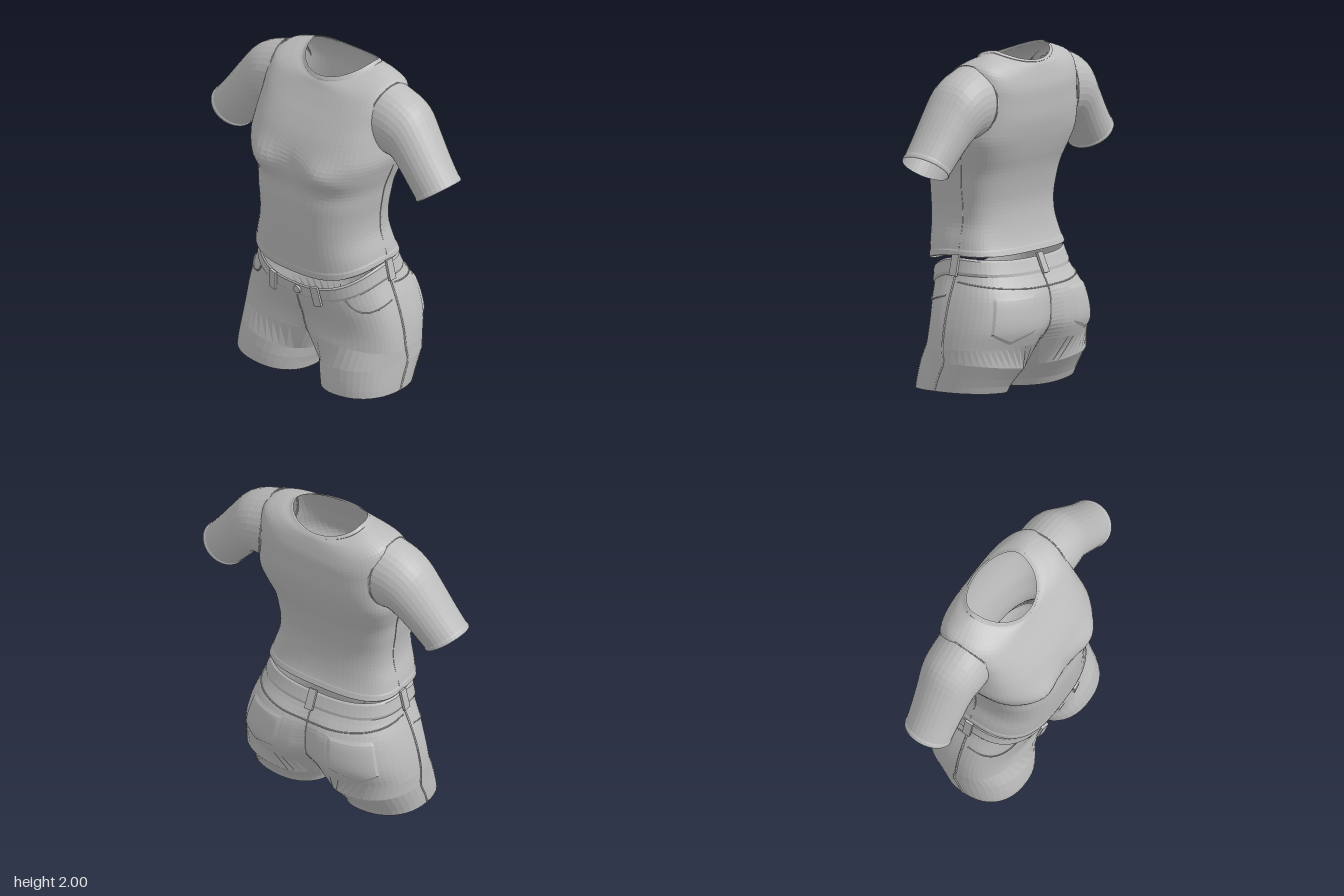
import * as THREE from 'three';

const cloth = new THREE.MeshStandardMaterial({ color: 0xbcbcbc, side: THREE.DoubleSide });
cloth.name = 'grey cloth';
const V = (x, y, z) => new THREE.Vector3(x, y, z);
const rad = THREE.MathUtils.degToRad;

function addMesh(group, name, geometry) {
  const mesh = new THREE.Mesh(geometry, cloth);
  mesh.name = name;
  group.add(mesh);
  return mesh;
}

// Faceted skin over a list of equally long point rows
function loft(rows, skip = () => false) {
  const pos = [];
  for (let i = 0; i < rows.length - 1; i++) {
    for (let j = 0; j < rows[i].length - 1; j++) {
      const a = rows[i][j], b = rows[i][j + 1], c = rows[i + 1][j + 1], d = rows[i + 1][j];
      const mid = a.clone().add(b).add(c).add(d).multiplyScalar(0.25);
      if (skip(mid)) continue;
      for (const p of [a, b, c, a, c, d]) pos.push(p.x, p.y, p.z);
    }
  }
  const g = new THREE.BufferGeometry();
  g.setAttribute('position', new THREE.Float32BufferAttribute(pos, 3));
  g.computeVertexNormals();
  return g;
}

function grid(fn, nu, nv, skip) {
  return loft(Array.from({ length: nu + 1 }, (_, i) =>
    Array.from({ length: nv + 1 }, (_, j) => fn(i / nu, j / nv))), skip);
}

// Thin raised seam along points
function seam(group, name, points, r = 0.004) {
  addMesh(group, name, new THREE.TubeGeometry(new THREE.CatmullRomCurve3(points), 40, r, 5));
}

// Smooth interpolation between table rows
function sample(rows, t) {
  const n = rows.length - 1, i = Math.max(0, Math.min(Math.floor(t), n - 1)), f = t - i;
  const [a, b, c, d] = [i - 1, i, i + 1, i + 2].map(k => rows[Math.max(0, Math.min(n, k))]);
  return b.map((p, k) => p + 0.5 * f * (c[k] - a[k] + f * (2 * a[k] - 5 * p + 4 * c[k] - d[k]
    + f * (3 * (p - c[k]) + d[k] - a[k]))));
}

// Row: half width, y at side / front / back, z at side / front / back, squareness, centre dips
function bodyPoint(rows, t, a) {
  const [w, ys, yf, yb, zs, zf, zb, e, dipF, dipB] = sample(rows, t);
  const c = Math.cos(a), s = Math.sin(a), front = s > 0;
  const x = w * Math.sign(c) * Math.abs(c) ** e;
  const y = ys + ((front ? yf : yb) - ys) * Math.abs(s) ** 1.5;
  let z = zs + ((front ? zf : zb) - zs) * Math.abs(s) ** e;
  z += (front ? -dipF : dipB) * Math.exp(-((x / 0.09) ** 2));
  return V(x, y, z);
}

const SHIRT = [
  [0.425, 0.82, 0.74, 0.82, -0.01, 0.34, -0.24, 0.7, 0, 0],
  [0.405, 0.90, 0.84, 0.90, 0, 0.35, -0.21, 0.7, 0, 0],
  [0.375, 1.00, 0.97, 1.00, 0, 0.36, -0.19, 0.7, 0, 0],
  [0.372, 1.10, 1.09, 1.10, 0, 0.365, -0.185, 0.7, 0, 0],
  [0.385, 1.20, 1.20, 1.20, 0, 0.365, -0.20, 0.7, 0, 0],
  [0.40, 1.30, 1.30, 1.30, -0.01, 0.355, -0.225, 0.7, 0, 0],
  [0.43, 1.40, 1.40, 1.40, -0.03, 0.36, -0.26, 0.66, 0, 0],
  [0.455, 1.50, 1.50, 1.50, -0.05, 0.35, -0.29, 0.63, 0, 0],
  [0.445, 1.62, 1.60, 1.60, -0.06, 0.31, -0.31, 0.62, 0, 0],
  [0.435, 1.74, 1.70, 1.70, -0.07, 0.25, -0.315, 0.62, 0, 0],
  [0.43, 1.85, 1.78, 1.78, -0.08, 0.195, -0.315, 0.64, 0, 0],
  [0.41, 1.925, 1.85, 1.85, -0.10, 0.15, -0.30, 0.72, 0, 0],
  [0.32, 1.965, 1.885, 1.90, -0.12, 0.13, -0.285, 0.85, 0, 0],
  [0.25, 1.985, 1.90, 1.92, -0.12, 0.12, -0.275, 1, 0, 0],
  [0.222, 2.0, 1.925, 1.935, -0.12, 0.108, -0.262, 1, 0, 0],
];
function shirtPoint(t, a) {
  const p = bodyPoint(SHIRT, t, a);
  if (Math.sin(a) > 0)
    p.z += 0.045 * Math.exp(-(((Math.abs(p.x) - 0.22) / 0.13) ** 2) - ((p.y - 1.42) / 0.085) ** 2);
  return p;
}

const SHORTS = [
  [0.415, 0.812, 0.66, 0.79, 0, 0.312, -0.25, 0.78, 0, 0],
  [0.44, 0.715, 0.575, 0.70, 0, 0.298, -0.29, 0.76, 0, 0],
  [0.49, 0.60, 0.50, 0.60, 0, 0.275, -0.36, 0.74, 0, 0.02],
  [0.525, 0.50, 0.43, 0.50, 0, 0.258, -0.387, 0.74, 0.01, 0.035],
  [0.55, 0.40, 0.37, 0.40, 0, 0.253, -0.39, 0.74, 0.02, 0.05],
  [0.565, 0.30, 0.31, 0.31, 0, 0.262, -0.355, 0.74, 0.05, 0.08],
];
const shortsPoint = (t, a) => bodyPoint(SHORTS, t, a);
const swell = (p, s) => p.multiply(V(1 + s, 1, 1 + s));

// Slightly thicker strip of a body surface with edges tucked in
const band = (fn, t0, t1, thick) => grid((u, v) =>
  swell(fn(t0 + (t1 - t0) * u, v * Math.PI * 2), u === 0 || u === 1 ? 0 : thick), 6, 64);

// Row: top x, y, bottom x, y, centre z, half depth
const SLEEVE = [
  [0.40, 1.935, 0.44, 1.50, -0.07, 0.19],
  [0.51, 1.895, 0.465, 1.505, -0.07, 0.185],
  [0.61, 1.835, 0.50, 1.485, -0.07, 0.175],
  [0.70, 1.72, 0.55, 1.435, -0.06, 0.162],
  [0.80, 1.58, 0.61, 1.368, -0.05, 0.15],
  [0.892, 1.462, 0.67, 1.30, -0.042, 0.142],
];
function sleevePoint(t, a, side, grow = 0) {
  const [tx, ty, bx, by, zc, d] = sample(SLEEVE, t);
  const c = Math.cos(a) * (1 + grow), s = Math.sin(a) * (1 + grow);
  const tuck = 0.05 * s * s * Math.max(0, 1 - t);
  return V(side * ((tx + bx) / 2 + (tx - bx) / 2 * c - tuck), (ty + by) / 2 + (ty - by) / 2 * c, zc + d * s);
}

function buildShirt() {
  const g = new THREE.Group();
  g.name = 'shirt';
  const inArmhole = p => Math.abs(p.x) > 0.39 && ((p.y - 1.72) / 0.18) ** 2 + ((p.z + 0.07) / 0.15) ** 2 < 1;
  addMesh(g, 'shirtBody', grid((u, v) => shirtPoint(u * 14, v * Math.PI * 2), 56, 64, inArmhole));
  addMesh(g, 'shirtHem', band(shirtPoint, 0, 0.55, 0.008));
  addMesh(g, 'collar', band(shirtPoint, 13.1, 14, 0.02));
  for (const side of [1, -1]) {
    addMesh(g, 'sleeve', grid((u, v) => sleevePoint(u * 5, v * Math.PI * 2, side), 16, 32));
    addMesh(g, 'sleeveCuff', grid((u, v) =>
      sleevePoint(4.7 + 0.3 * u, v * Math.PI * 2, side, u % 1 ? 0.025 : 0), 4, 32));
    seam(g, 'armholeSeam', Array.from({ length: 25 }, (_, i) => sleevePoint(0.15, i * Math.PI / 12, side)));
    seam(g, 'shirtSideSeam', [0.5, 2, 3, 4, 5, 6, 7].map(t => shirtPoint(t, side > 0 ? 0 : Math.PI)), 0.003);
  }
  return g;
}

// Rings of the left leg: an outer arc below the hip and an inner arc below the crotch
function legRings() {
  const N = 32, M = 12, A = rad(140);
  const crotch = [];
  for (let i = 0; i <= N; i++) crotch.push(shortsPoint(5, Math.PI / 2 - Math.PI * i / N));
  const f = crotch[0], b = crotch[N];
  for (let i = 1; i <= M; i++) {
    const k = i / M;
    crotch.push(V(0, 0.31 - 0.14 * (1 - (2 * k - 1) ** 2), b.z + (f.z - b.z) * k));
  }
  // Inner x, outer x, outer y, inner y, front z, back z
  const ring = ([xi, xo, yo, yi, zf, zb]) => Array.from({ length: N + M + 1 }, (_, i) => {
    const a = i <= N ? A - 2 * A * i / N : -A - (2 * Math.PI - 2 * A) * (i - N) / M;
    const c = Math.cos(a), s = Math.sin(a);
    const x = (xi + xo) / 2 + (xo - xi) / 2 * Math.sign(c) * Math.abs(c) ** 0.88;
    const z = (zf + zb) / 2 + (zf - zb) / 2 * Math.sign(s) * Math.abs(s) ** 0.88;
    return V(x, yi + (yo - yi) * (x - xi) / (xo - xi), z);
  });
  return [crotch, ...[
    [0.012, 0.57, 0.22, 0.14, 0.28, -0.30],
    [0.032, 0.571, 0.14, 0.085, 0.295, -0.25],
    [0.048, 0.571, 0.09, 0.045, 0.302, -0.22],
    [0.06, 0.57, 0.05, 0.003, 0.306, -0.20],
    [0.078, 0.552, 0.05, 0.003, 0.288, -0.182],
    [0.072, 0.552, 0.10, 0.06, 0.284, -0.20],
  ].map(ring)];
}

// Orient a mesh so its y runs up the cloth and its z points outward
function placeOnShorts(mesh, t, a, lift) {
  const p = shortsPoint(t, a);
  const up = shortsPoint(t - 0.3, a).sub(shortsPoint(t + 0.3, a)).normalize();
  const across = shortsPoint(t, a - 0.05).sub(shortsPoint(t, a + 0.05)).normalize();
  const out = across.clone().cross(up).normalize();
  across.crossVectors(up, out);
  mesh.quaternion.setFromRotationMatrix(new THREE.Matrix4().makeBasis(across, up, out));
  mesh.position.copy(p).addScaledVector(out, lift);
}

function buildShorts() {
  const g = new THREE.Group();
  g.name = 'shorts';
  addMesh(g, 'hips', grid((u, v) => shortsPoint(u * 5, v * Math.PI * 2 + Math.PI / 2), 20, 64));
  addMesh(g, 'waistband', band(shortsPoint, 0, 1, 0.025));
  const rings = legRings();
  for (const side of [1, -1]) {
    const flip = p => V(p.x * side, p.y, p.z);
    const at = (t, deg) => flip(swell(shortsPoint(t, rad(deg)), 0.004));
    addMesh(g, 'leg', loft(rings.map(r => r.map(flip))));
    // Outer seam runs from the waistband to the leg opening
    seam(g, 'sideSeam', [...[1, 2, 3, 4].map(t => at(t, 0)), ...rings.slice(0, 5).map(r => flip(r[16]))], 0.006);
    seam(g, 'frontPocketEdge', [[1, 50], [1.5, 48], [1.9, 42], [2.1, 32], [2.1, 18], [2.0, 3]].map(q => at(...q)));
    seam(g, 'backYokeSeam', [-90, -75, -60, -45, -30, -15, -2].map((d, i) => at(1.75 - i * 0.07, d)));
    // Back pocket: thin patch with a pointed lower edge
    addMesh(g, 'backPocket', grid((u, v) => {
      const end = 4.1 + 0.6 * (1 - Math.abs(2 * v - 1));
      const edge = u === 0 || u === 1 || v === 0 || v === 1;
      return flip(swell(shortsPoint(2 + (end - 2) * u, rad(-78 + 40 * v)), edge ? 0 : 0.018));
    }, 14, 14));
  }
  seam(g, 'flySeam', [1, 2, 3, 4, 5].map(t => shortsPoint(t, Math.PI / 2)));
  seam(g, 'backSeam', [1, 2, 3, 4, 5].map(t => shortsPoint(t, -Math.PI / 2)));
  for (const deg of [74, 106, 0, 180, -90]) {
    const loop = addMesh(g, 'beltLoop', new THREE.BoxGeometry(0.05, 0.125, 0.016));
    placeOnShorts(loop, 0.55, rad(deg), 0.024);
  }
  const button = addMesh(g, 'button', new THREE.CylinderGeometry(0.024, 0.026, 0.012, 16).rotateX(Math.PI / 2));
  placeOnShorts(button, 0.5, rad(89), 0.014);
  return g;
}

export function createModel() {
  const model = new THREE.Group();
  model.name = 'outfit';
  model.add(buildShirt(), buildShorts());
  return model;
}
